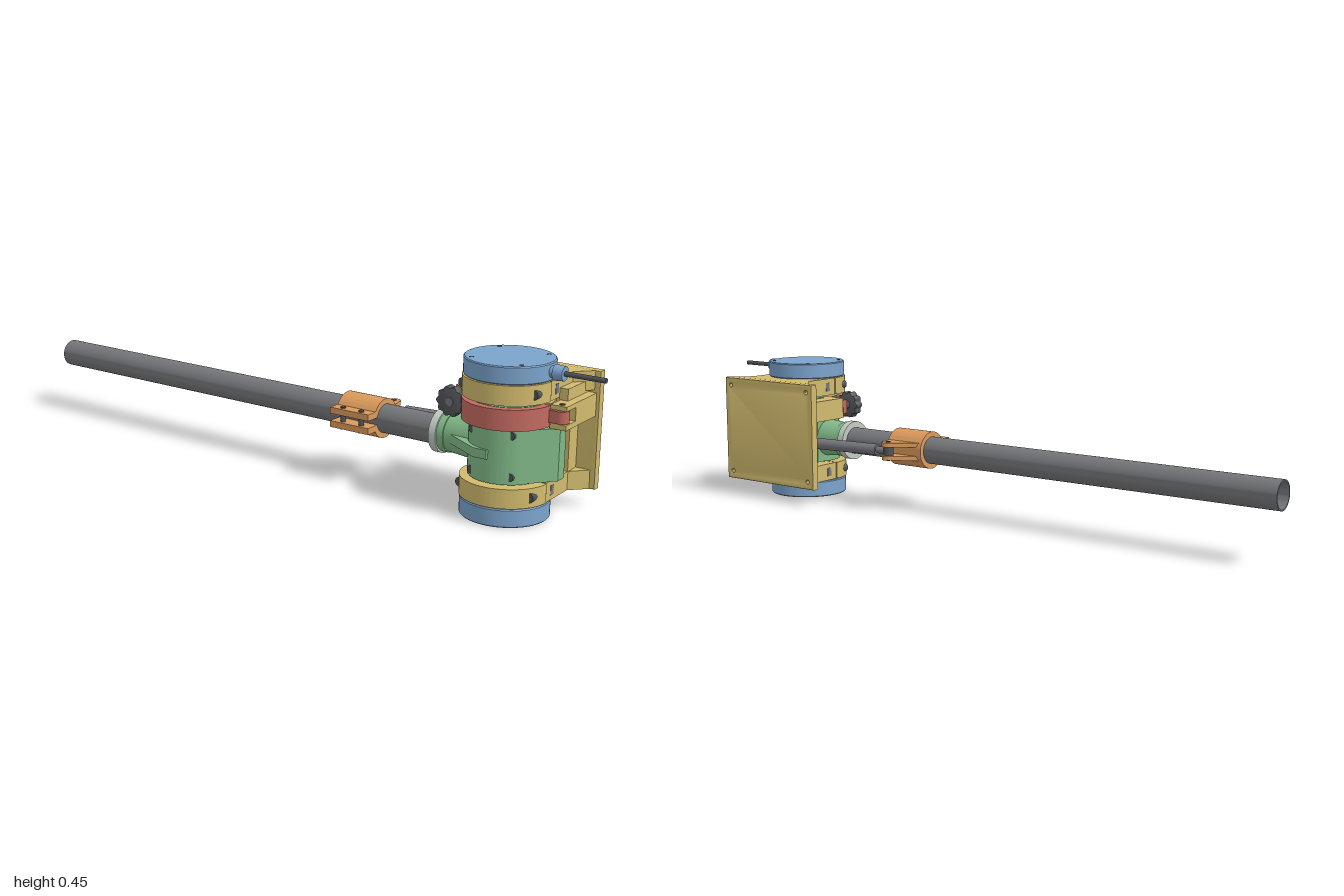
import * as THREE from 'three';
import { toCreasedNormals } from 'three/addons/utils/BufferGeometryUtils.js';

const mat = (color) => new THREE.MeshStandardMaterial({ color, side: THREE.DoubleSide });
const M = {
  blue: mat(0x7ba3cc), yellow: mat(0xd2bb6e), green: mat(0x80b886), red: mat(0xc26a60),
  orange: mat(0xdb9a5c), grey: mat(0x75767a), dark: mat(0x505358), pale: mat(0xc2ccc2),
};
const CX = 0.72, CZ = 0.036;           // drum axis
const PY = 0.195, PZ = 0.028;          // pipe axis

export function createModel() {
  const root = new THREE.Group();
  const add = (name, geo, m, x = 0, y = 0, z = 0) => {
    const mesh = new THREE.Mesh(geo, m);
    mesh.name = name;
    mesh.position.set(x, y, z);
    root.add(mesh);
    return mesh;
  };
  // Box from its limits
  const box = (name, m, x0, x1, y0, y1, z0, z1) =>
    add(name, new THREE.BoxGeometry(x1 - x0, y1 - y0, z1 - z0), m, (x0 + x1) / 2, (y0 + y1) / 2, (z0 + z1) / 2);
  // Cylinder between two points
  const rod = (name, m, a, b, r, r2 = r, seg = 24) => {
    const A = new THREE.Vector3(...a), B = new THREE.Vector3(...b), d = B.clone().sub(A);
    const mesh = add(name, new THREE.CylinderGeometry(r2, r, d.length(), seg), m);
    mesh.position.copy(A).add(B).multiplyScalar(0.5);
    mesh.quaternion.setFromUnitVectors(new THREE.Vector3(0, 1, 0), d.normalize());
    return mesh;
  };
  // Plan shape (x, z) raised from y0 to y1
  const slab = (name, m, shape, y0, y1) => {
    const g = new THREE.ExtrudeGeometry(shape, { depth: y1 - y0, bevelEnabled: false, curveSegments: 32 });
    return add(name, toCreasedNormals(g.rotateX(Math.PI / 2), 0.5), m, 0, y1, 0);
  };
  const poly = (pts) => new THREE.Shape(pts.map((p) => new THREE.Vector2(...p)));
  const halfRing = (ri, ro, a0, a1) => {
    const s = new THREE.Shape();
    s.absarc(CX, CZ, ro, a0, a1, false);
    s.absarc(CX, CZ, ri, a1, a0, true);
    s.closePath();
    return s;
  };

  // End caps with softened rims and cover screws
  const cap = (y0, y1) => {
    const b = 0.003, r = 0.125, h = y1 - y0;
    const pts = [[0, 0], [r - b, 0], [r, b], [r, h - b], [r - b, h], [0, h]];
    const g = new THREE.LatheGeometry(pts.map((p) => new THREE.Vector2(...p)), 64);
    add('endCap', toCreasedNormals(g, 0.5), M.blue, CX, y0, CZ);
  };
  cap(0, 0.052);
  cap(0.396, 0.446);
  for (let i = 0; i < 4; i++) {
    const a = Math.PI / 4 + i * Math.PI / 2, x = CX + 0.107 * Math.cos(a), z = CZ + 0.107 * Math.sin(a);
    rod('capScrew', M.grey, [x, 0.44, z], [x, 0.447, z], 0.006);
  }

  // Cable gland and cable
  rod('cableGland', M.blue, [0.835, 0.421, CZ], [0.862, 0.421, CZ], 0.016);
  rod('glandNut', M.blue, [0.855, 0.421, CZ], [0.883, 0.421, CZ], 0.022, 0.02);
  rod('cable', M.dark, [0.87, 0.421, CZ], [1, 0.421, CZ], 0.007);

  // Pivot shaft seen in the gaps
  rod('pivotShaft', M.green, [CX, 0.05, CZ], [CX, 0.398, CZ], 0.066, 0.066, 48);

  // Bearing clamps: saddle on the plate and front cap, upper and lower
  for (const [y0, y1] of [[0.055, 0.11], [0.34, 0.395]]) {
    const ym = (y0 + y1) / 2;
    slab('bearingSaddle', M.yellow, poly([
      [0.595, 0.034], [0.595, -0.09], [0.55, -0.139], [0.89, -0.139], [0.845, -0.09], [0.845, 0.034]]), y0, y1);
    slab('bearingCap', M.yellow, halfRing(0.066, 0.127, 0.016, Math.PI - 0.016), y0, y1);
    for (const s of [-1, 1]) {
      const x = CX + s * 0.107;
      rod('clampBolt', M.dark, [x, ym, 0.02], [x, ym, 0.1], 0.014);
      box('clampNut', M.grey, CX + s * 0.119 - 0.007, CX + s * 0.119 + 0.007, ym - 0.014, ym + 0.014, -0.007, 0.01);
    }
  }

  // Mounting plate with corner holes
  const plate = poly([[0.52, 0.06], [0.9, 0.06], [0.9, 0.39], [0.52, 0.39]]);
  for (const x of [0.54, 0.88]) for (const y of [0.08, 0.37]) {
    const h = new THREE.Path();
    h.absarc(x, y, 0.011, 0, Math.PI * 2, true);
    plate.holes.push(h);
  }
  const pg = new THREE.ExtrudeGeometry(plate, {
    depth: 0.02, bevelThickness: 0.003, bevelSize: 0.005, bevelSegments: 2, curveSegments: 16 });
  add('mountingPlate', toCreasedNormals(pg, 0.5), M.yellow, 0, 0, -0.16);
  box('backWall', M.yellow, 0.63, 0.845, 0.1, 0.35, -0.139, -0.088);
  for (const y of [0.137, 0.248]) for (const x of [0.66, 0.8])
    rod('stopPost', M.yellow, [x, y, -0.09], [x, y, -0.06], 0.018);

  // Brake saddle with its hinge fork and left lug
  slab('brakeSaddle', M.yellow, halfRing(0.104, 0.125, Math.PI, Math.PI * 2), 0.268, 0.333);
  box('saddleWeb', M.yellow, 0.64, 0.8, 0.268, 0.333, -0.139, -0.07);
  box('hingeArm', M.yellow, 0.848, 0.895, 0.267, 0.333, -0.139, -0.015);
  box('hingeRib', M.yellow, 0.845, 0.87, 0.333, 0.366, -0.139, -0.015);
  for (const [y0, y1] of [[0.267, 0.282], [0.32, 0.333]])
    box('hingeFork', M.yellow, 0.848, 0.895, y0, y1, -0.016, 0.04);
  box('brakeLugArm', M.yellow, 0.545, 0.6, 0.267, 0.333, -0.139, 0.02);

  // Red brake band with hinge barrel and knob lug
  slab('brakeBand', M.red, halfRing(0.104, 0.127, 0.03, Math.PI - 0.03), 0.271, 0.33);
  rod('hingeBarrel', M.red, [0.874, 0.284, 0.024], [0.874, 0.318, 0.024], 0.021);
  box('hingeTongue', M.red, 0.835, 0.874, 0.284, 0.318, 0.024, 0.045);
  rod('hingePin', M.dark, [0.874, 0.266, 0.024], [0.874, 0.335, 0.024], 0.008);
  box('bandLug', M.red, 0.55, 0.615, 0.28, 0.325, 0.026, 0.045);

  // Lobed hand knob
  const knob = new THREE.Shape();
  for (let i = 0; i <= 96; i++) {
    const a = i / 96 * Math.PI * 2, r = 0.039 + 0.003 * Math.cos(a * 10);
    knob[i ? 'lineTo' : 'moveTo'](r * Math.cos(a), r * Math.sin(a));
  }
  const kg = new THREE.ExtrudeGeometry(knob, { depth: 0.024, bevelThickness: 0.003, bevelSize: 0.002, bevelSegments: 2 });
  add('handKnob', toCreasedNormals(kg, 0.6), M.dark, 0.57, 0.304, 0.068);
  rod('knobStem', M.dark, [0.57, 0.304, 0.01], [0.57, 0.304, 0.07], 0.014);
  rod('knobInsert', M.grey, [0.57, 0.304, 0.09], [0.57, 0.304, 0.097], 0.012);

  // Green drum and its flat-sided housing
  rod('drum', M.green, [CX, 0.115, CZ], [CX, 0.331, CZ], 0.105, 0.105, 64);
  const body = new THREE.Shape();
  body.absarc(CX, CZ, 0.1055, 0.7, Math.PI, false);
  [[0.615, -0.03], [0.65, -0.066], [0.825, -0.066], [0.87, -0.015], [0.87, 0.02]].forEach((p) => body.lineTo(...p));
  body.closePath();
  slab('housing', M.green, body, 0.117, 0.266);
  for (const y of [0.136, 0.252]) for (const s of [-1, 1]) {
    const x = CX + s * 0.058;
    rod('housingBolt', M.dark, [x, y, 0.09], [x, y, 0.124], 0.012);
  }

  // Pipe socket, collar and stiffening fin
  rod('pipeSocket', M.green, [0.535, PY, PZ], [0.66, PY, PZ], 0.054, 0.064, 40);
  rod('socketRim', M.green, [0.522, PY, PZ], [0.545, PY, PZ], 0.058, 0.058, 40);
  rod('collar', M.pale, [0.501, PY, PZ], [0.524, PY, PZ], 0.063, 0.063, 40);
  slab('socketFin', M.green, poly([[0.57, 0.04], [0.57, 0.085], [0.68, 0.149], [0.72, 0.149], [0.73, 0.1]]), 0.182, 0.208);

  // Hollow pipe
  const pipe = [[0.039, -1], [0.043, -1], [0.043, 0.52], [0.039, 0.52], [0.039, -1]];
  const tg = new THREE.LatheGeometry(pipe.map((p) => new THREE.Vector2(...p)), 40);
  add('pipe', toCreasedNormals(tg.rotateZ(-Math.PI / 2), 0.5), M.grey, 0, PY, PZ);

  // Split pipe clamp: C section with two flanges, extruded along x
  const c = new THREE.Shape(), f = 0.011;
  c.moveTo(-0.088, f);
  c.lineTo(-0.088, 0.03);
  c.lineTo(-0.051, 0.03);
  c.absarc(0, 0, 0.059, Math.PI - 0.53, -Math.PI + 0.53, true);
  c.lineTo(-0.088, -0.03);
  c.lineTo(-0.088, -f);
  c.lineTo(-0.042, -f);
  c.absarc(0, 0, 0.0425, -Math.PI + 0.26, Math.PI - 0.26, false);
  c.closePath();
  const cg = new THREE.ExtrudeGeometry(c, { depth: 0.135, bevelEnabled: false, curveSegments: 32 });
  add('pipeClamp', toCreasedNormals(cg.rotateY(Math.PI / 2), 0.5), M.orange, 0.18, PY, PZ);
  for (const x of [0.215, 0.28])
    rod('clampScrew', M.dark, [x, PY - 0.034, 0.1], [x, PY + 0.034, 0.1], 0.008);

  // Strut lugs on the clamp
  const lug = new THREE.Shape();
  lug.moveTo(0.185, -0.02);
  lug.lineTo(0.268, -0.077);
  lug.absarc(0.283, -0.064, 0.02, -2.3, 0, false);
  lug.lineTo(0.313, -0.02);
  lug.closePath();
  for (const s of [-1, 1]) slab('strutLug', M.orange, lug, PY + s * 0.021 - 0.007, PY + s * 0.021 + 0.007);
  rod('strutPin', M.dark, [0.283, PY - 0.031, -0.064], [0.283, PY + 0.031, -0.064], 0.007);

  // Strut with end eyes
  rod('strutRod', M.grey, [0.283, PY, -0.062], [0.36, PY, -0.07], 0.011);
  rod('strutTube', M.grey, [0.325, PY, -0.066], [0.57, PY, -0.094], 0.018);
  for (const [x, z] of [[0.283, -0.062], [0.595, -0.097]])
    rod('strutEye', M.dark, [x, PY - 0.014, z], [x, PY + 0.014, z], 0.016);
  rod('strutPivot', M.dark, [0.595, PY - 0.027, -0.097], [0.595, PY + 0.027, -0.097], 0.009);
  for (const s of [-1, 1])
    box('strutBracket', M.yellow, 0.58, 0.635, PY + s * 0.021 - 0.006, PY + s * 0.021 + 0.006, -0.139, -0.085);

  return root;
}
